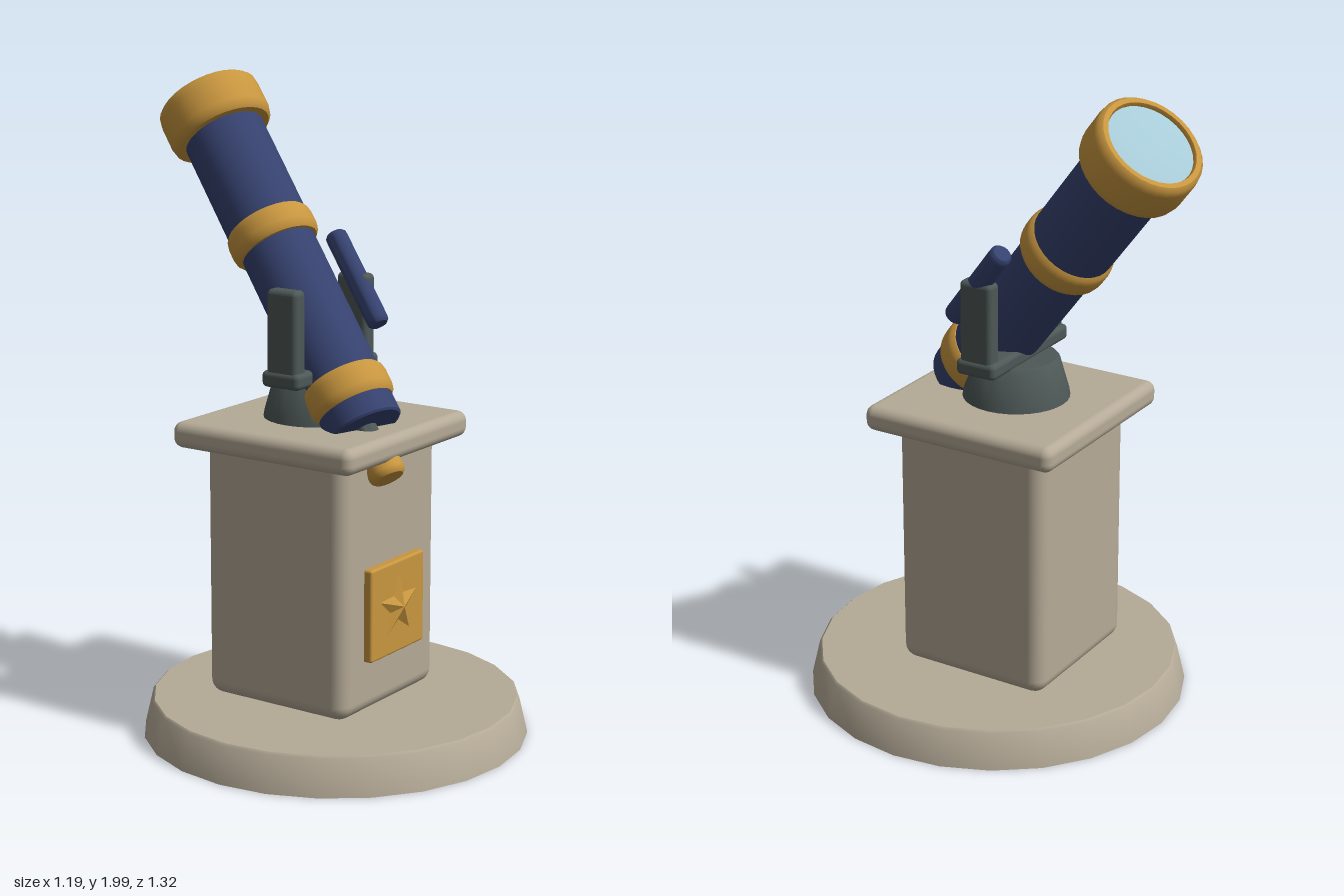
import * as THREE from 'three';
import { toCreasedNormals } from 'three/addons/utils/BufferGeometryUtils.js';
import { RoundedBoxGeometry } from 'three/addons/geometries/RoundedBoxGeometry.js';

const paint = (name, color) => {
  const m = new THREE.MeshStandardMaterial({ color });
  m.name = name;
  return m;
};

export function createModel() {
  const stone = paint('stone', 0xb5aa97);
  const brass = paint('brass', 0xc8963f);
  const navy = paint('navy', 0x36426f);
  const iron = paint('iron', 0x4d5856);
  const glass = paint('glass', 0xa6cad6);

  const model = new THREE.Group();
  model.name = 'telescopeOnPedestal';

  const add = (parent, name, geometry, material, x = 0, y = 0, z = 0) => {
    const mesh = new THREE.Mesh(geometry, material);
    mesh.name = name;
    mesh.position.set(x, y, z);
    parent.add(mesh);
    return mesh;
  };
  const box = (w, h, d, r) => new RoundedBoxGeometry(w, h, d, 3, r);
  // Turned part: profile of [radius, height] from bottom to top
  const turned = (profile, sides = 32) => toCreasedNormals(
    new THREE.LatheGeometry(profile.map(([r, y]) => new THREE.Vector2(r, y)), sides), 0.7);

  // Pedestal
  add(model, 'base', turned([[0, 0], [0.593, 0], [0.567, 0.11], [0.56, 0.117], [0, 0.117]], 24), stone, 0, 0, 0.068);
  add(model, 'column', box(0.506, 0.81, 0.51, 0.045), stone, 0, 0.525, 0.015);
  add(model, 'topSlab', box(0.65, 0.08, 0.65, 0.03), stone, 0, 0.94, 0.015);

  // Plaque with a raised star
  add(model, 'plaque', box(0.285, 0.287, 0.04, 0.008), brass, 0, 0.43, 0.277);
  const rim = i => {
    const r = i % 2 ? 0.044 : 0.102;
    const a = Math.PI / 2 + i * Math.PI / 5;
    return [r * Math.cos(a), r * Math.sin(a), 0];
  };
  const corners = [];
  for (let i = 0; i < 10; i++) corners.push(...rim(i), ...rim(i + 1), 0, 0, 0.023);
  const star = new THREE.BufferGeometry();
  star.setAttribute('position', new THREE.Float32BufferAttribute(corners, 3));
  star.computeVertexNormals();
  add(model, 'star', star, brass, 0, 0.433, 0.2975);

  // Mount and fork
  add(model, 'mountCone', turned([[0, 0.97], [0.165, 0.97], [0.16, 1.0], [0.132, 1.1], [0.124, 1.108], [0, 1.108]]), iron);
  add(model, 'forkCrossbar', box(0.43, 0.05, 0.135, 0.016), iron, 0, 1.125, 0.013);
  for (const side of [-1, 1]) {
    add(model, side > 0 ? 'leftForkArm' : 'rightForkArm', box(0.054, 0.295, 0.11, 0.016), iron, side * 0.182, 1.247, 0.015);
  }

  // Telescope: local y runs along the tube, zero at the front rim
  const axis = new THREE.Vector3(0.18, 0.761, -0.624).normalize();
  const scope = new THREE.Group();
  scope.name = 'telescope';
  scope.position.set(0.159, 1.89, -0.535);
  scope.quaternion.setFromUnitVectors(new THREE.Vector3(0, 1, 0), axis);
  model.add(scope);

  const tube = (r, bottom, top) => turned([[0, bottom], [r - 0.006, bottom], [r, bottom + 0.006], [r, top], [0, top]]);
  const band = (r, middle, length) => {
    const h = length / 2;
    return turned([[r - 0.03, middle - h], [r - 0.012, middle - h], [r - 0.003, middle - h + 0.012], [r, middle - h + 0.028],
      [r, middle + h - 0.028], [r - 0.003, middle + h - 0.012], [r - 0.012, middle + h], [r - 0.03, middle + h]]);
  };

  add(scope, 'upperTube', tube(0.128, -0.53, -0.03), navy);
  add(scope, 'lowerTube', tube(0.118, -1.2, -0.5), navy);
  add(scope, 'middleBand', band(0.139, -0.516, 0.09), brass);
  add(scope, 'lowerBand', band(0.132, -1.08, 0.1), brass);
  add(scope, 'lensHood', turned([[0.11, -0.14], [0.15, -0.14], [0.16, -0.13], [0.165, -0.11], [0.165, -0.03],
    [0.162, -0.01], [0.152, 0], [0.137, 0], [0.133, -0.012], [0.133, -0.03]]), brass);
  add(scope, 'lens', turned([[0.134, -0.012], [0.1, -0.006], [0.05, -0.002], [0, 0]]), glass);
  add(scope, 'eyepieceStem', tube(0.036, -1.32, -1.19), iron);
  add(scope, 'eyepiece', turned([[0, -1.37], [0.045, -1.37], [0.054, -1.362], [0.057, -1.35], [0.057, -1.32],
    [0.052, -1.305], [0.042, -1.3], [0, -1.3]]), brass);

  // Finder scope, parallel to the main tube
  const finder = add(model, 'finderScope', turned([[0, -0.165], [0.026, -0.165], [0.033, -0.157], [0.034, -0.145],
    [0.034, 0.145], [0.033, 0.157], [0.026, 0.165], [0, 0.165]], 24), navy, 0.173, 1.376, 0.025);
  finder.quaternion.copy(scope.quaternion);

  return model;
}
